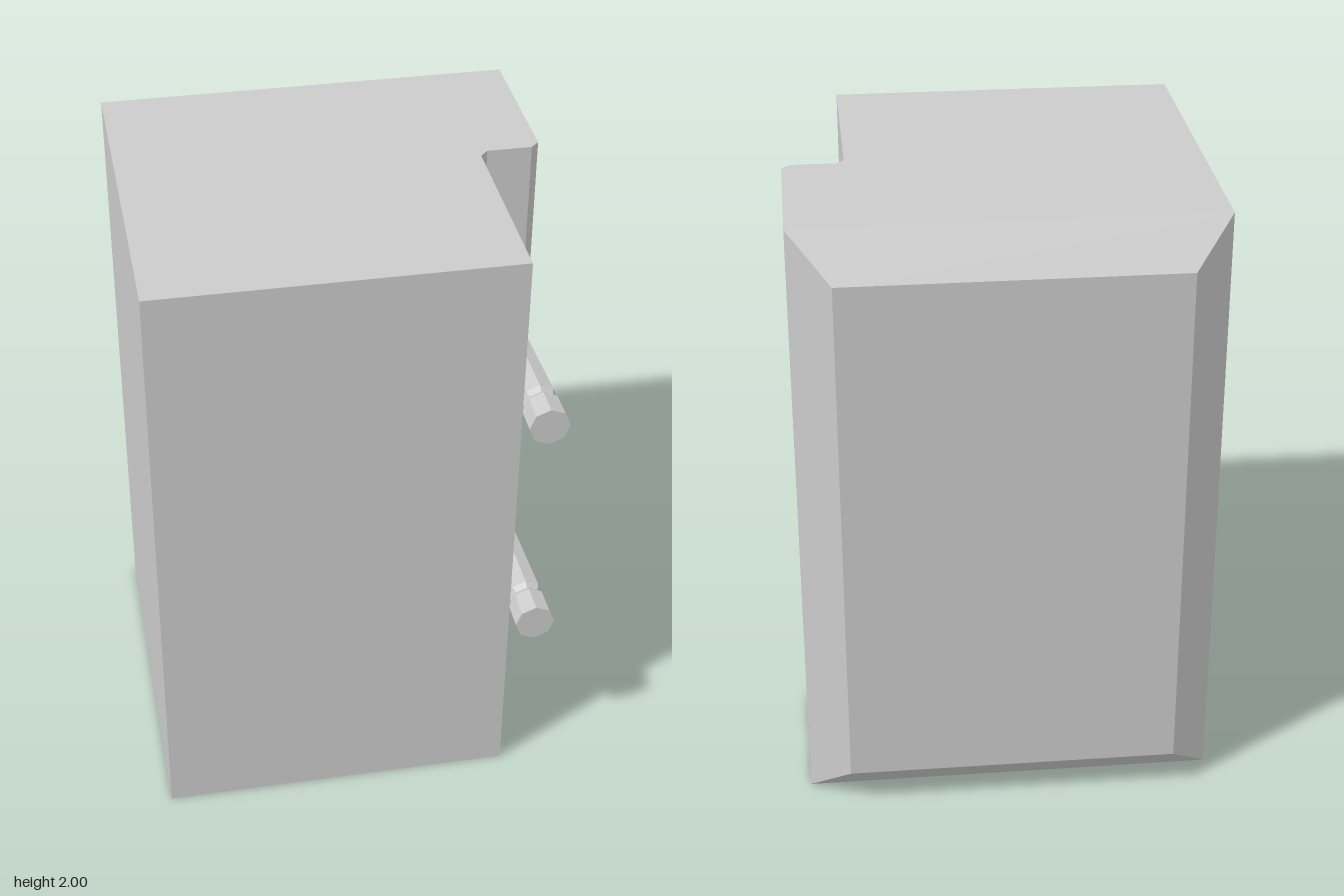
import * as THREE from 'three';

const W = 0.667, BACK = -0.535, INSET = 0.132, H = 2;
const PIN_X = 0.56;

// Horizontal outline of the body; dip pushes the notch floor backwards
function section(y, dip) {
  return [
    [-W, BACK], [-W, W], [0.47, W],
    [0.47, 0.027 - dip], [0.496, -dip], [0.64, -dip], [W, -0.026 - dip],
    [W, BACK],
  ].map(([x, z]) => new THREE.Vector3(x, y, z));
}

function bodyGeometry() {
  const pos = [];
  const tri = (...pts) => pts.forEach((p) => pos.push(p.x, p.y, p.z));
  const quad = (a, b, c, d) => { tri(a, b, c); tri(a, c, d); };

  // Side walls, with the notch floor scooped out around mid height
  const levels = [[0, 0], [0.69, 0], [0.815, 0.047], [1, 0.079], [1.185, 0.047], [1.31, 0], [H, 0]];
  const rings = levels.map(([y, dip]) => section(y, dip));
  for (let j = 0; j < rings.length - 1; j++) {
    const lo = rings[j], hi = rings[j + 1];
    for (let i = 0; i < lo.length - 1; i++) quad(lo[i], lo[i + 1], hi[i + 1], hi[i]);
  }

  // Flat top and bottom
  const bottom = rings[0], top = rings[rings.length - 1];
  const outline = top.map((p) => new THREE.Vector2(p.x, -p.z));
  for (const [a, b, c] of THREE.ShapeUtils.triangulateShape(outline, [])) {
    tri(top[a], top[b], top[c]);
    tri(bottom[c], bottom[b], bottom[a]);
  }

  // Bevelled back, corners counter-clockwise as seen from behind
  const rect = (inset, z) => [[1, 0], [-1, 0], [-1, 1], [1, 1]].map(([sx, t]) =>
    new THREE.Vector3(sx * (W - inset), t ? H - inset : inset, z));
  const outer = rect(0, BACK), inner = rect(INSET, -W);
  for (let i = 0; i < 4; i++) {
    const k = (i + 1) % 4;
    quad(outer[i], outer[k], inner[k], inner[i]);
  }
  quad(...inner);

  const geo = new THREE.BufferGeometry();
  geo.setAttribute('position', new THREE.Float32BufferAttribute(pos, 3));
  geo.computeVertexNormals();
  return geo;
}

// Tapered octagonal pin with a grooved neck and a plain head
function pinGeometry() {
  const profile = [[0.046, 0], [0.062, 0.53], [0.052, 0.55], [0.064, 0.57], [0.065, W], [0, W]]
    .map(([r, z]) => new THREE.Vector2(r, z));
  return new THREE.LatheGeometry(profile, 8).rotateX(Math.PI / 2);
}

export function createModel() {
  const model = new THREE.Group();
  model.name = 'block';
  const material = new THREE.MeshStandardMaterial({ color: 0xcccccc, flatShading: true });

  const body = new THREE.Mesh(bodyGeometry(), material);
  body.name = 'body';
  model.add(body);

  const pinGeo = pinGeometry();
  for (const [name, y] of [['lowerPin', 0.6], ['upperPin', 1.4]]) {
    const pin = new THREE.Mesh(pinGeo, material);
    pin.name = name;
    pin.position.set(PIN_X, y, 0);
    model.add(pin);
  }
  return model;
}
